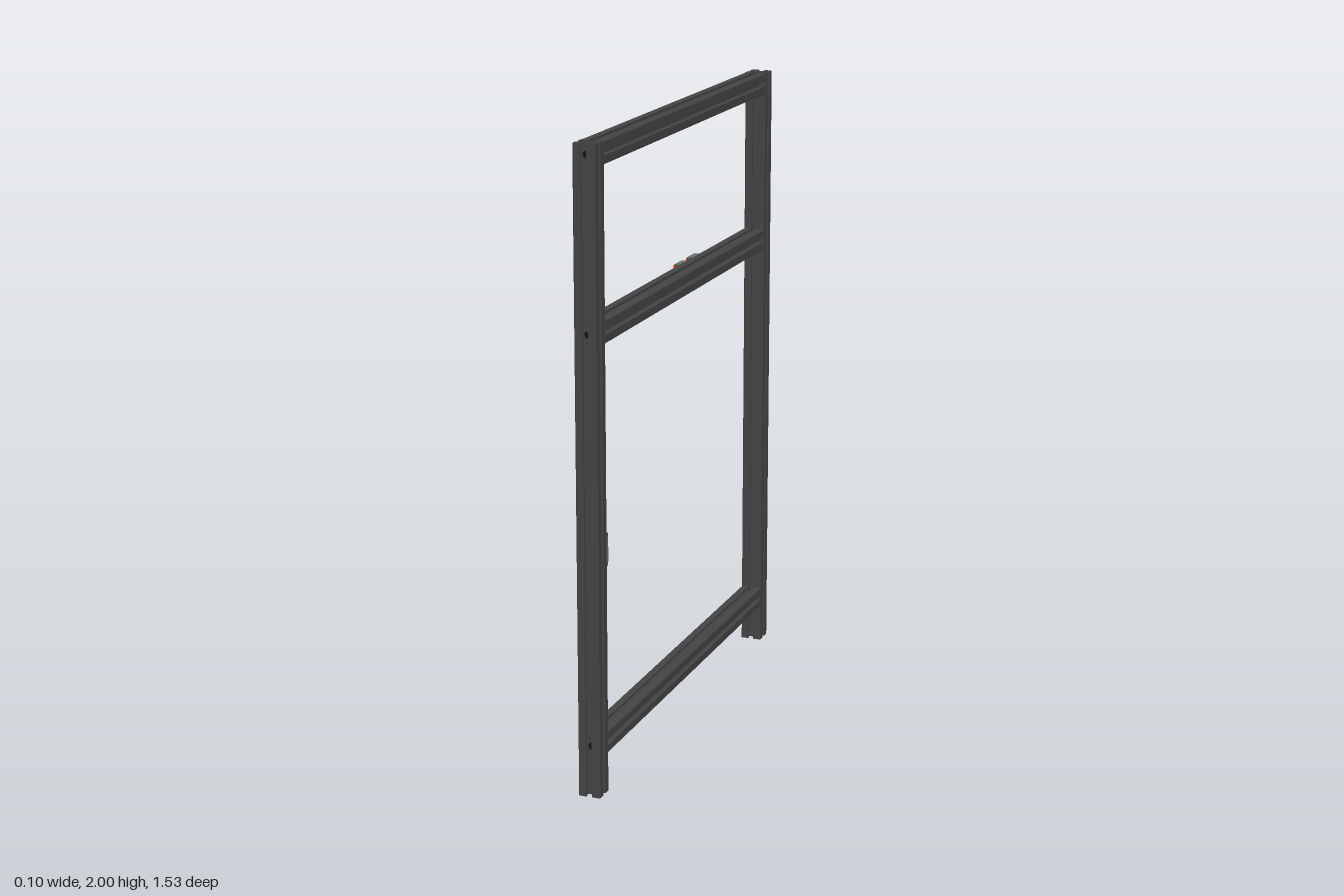
import * as THREE from 'three';
import { mergeGeometries } from 'three/addons/utils/BufferGeometryUtils.js';

const mat = (color) => new THREE.MeshStandardMaterial({ color });
const darkAlu = mat(0x444444), black = mat(0x141414), steel = mat(0xb4b4b4);
const block = mat(0x6c7070), green = mat(0x1f7030), red = mat(0xd03020);

const H = 0.0348;        // half width of the slotted profile
const C = 0.0135;        // half width of its hollow core
const CX = 0.0139;       // x of the frame's centre plane
const POST_Z = 0.732;    // z of the posts
const BEAM_Y = [0.158, 1.438, 2 - H];

const poly = (pts) => new THREE.Shape(pts.map(([x, y]) => new THREE.Vector2(x, y)));
const rect = (w, h) => poly([[-w, -h], [w, -h], [w, h], [-w, h]]);
const extrude = (shape, depth, curveSegments = 12) =>
  new THREE.ExtrudeGeometry(shape, { depth, bevelEnabled: false, curveSegments });

function addHole(shape, x, y, r) {
  const p = new THREE.Path();
  p.absarc(x, y, r, 0, Math.PI * 2, true);
  shape.holes.push(p);
}

function mesh(name, geometry, material) {
  const m = new THREE.Mesh(geometry, material);
  m.name = name;
  return m;
}

// One quarter of the T-slot section: diagonal rib, two lips, hollow corner
function cornerShape() {
  const half = [[C, 0.0095], [0.0215, 0.0172], [0.0275, 0.0172], [0.0275, 0.0087], [H, 0.0087], [H, H - 0.003]];
  const mirrored = half.map(([x, y]) => [y, x]).reverse();
  const s = poly([...half, ...mirrored, [0.0115, 0.0115]]);
  const a = 0.0225, b = 0.0315;
  s.holes.push(new THREE.Path([[a, a], [a, b], [b, b], [b, a]].map(([x, y]) => new THREE.Vector2(x, y))));
  return s;
}

// Slotted bar along y, centred; holes are [y, radius] across x or across z
function slottedBar(name, length, xHoles = [], zHoles = []) {
  const parts = [];
  const corner = extrude(cornerShape(), length).translate(0, 0, -length / 2).rotateX(-Math.PI / 2);
  for (let k = 0; k < 4; k++) {
    const turn = k * Math.PI / 2;
    parts.push(corner.clone().rotateY(turn));
    const wall = rect(C, length / 2);
    for (const [y, r] of k % 2 ? xHoles : zHoles) addHole(wall, 0, y, r);
    parts.push(extrude(wall, 0.006).translate(0, 0, C - 0.006).rotateY(turn));
  }
  return mesh(name, mergeGeometries(parts), darkAlu);
}

// Carriage wrapped around a rail: block, end caps and end seals
function carriage(length) {
  const g = new THREE.Group();
  g.name = 'carriage';
  const section = (w, top, low) => poly([
    [-w, low], [-0.0142, low], [-0.0142, 0.0185], [0.0142, 0.0185], [0.0142, low],
    [w, low], [w, top - 0.002], [w - 0.002, top], [-w + 0.002, top], [-w, top - 0.002],
  ]);
  const slice = (name, shape, y, len, material) => g.add(mesh(name,
    extrude(shape, len).rotateX(Math.PI / 2).scale(-1, 1, -1).rotateY(Math.PI)
      .rotateZ(0).translate(0, y + len / 2, 0), material));
  const cap = 0.01, seal = 0.0025, body = length - 2 * (cap + seal);
  // sections are drawn as (width, height) and run along y, with height facing +z
  slice('carriageBlock', section(0.028, 0.028, 0.0075), 0, body, block);
  for (const s of [-1, 1]) {
    slice('endCap', section(0.0272, 0.0272, 0.008), s * (body + cap) / 2, cap, green);
    slice('endSeal', section(0.0268, 0.0262, 0.008), s * (length - seal) / 2, seal, red);
  }
  return g;
}

// Drilled rail along y from a to b, its top facing +z
function railWithCarriages(name, a, b, carriages, len) {
  const g = new THREE.Group();
  g.name = name;
  const length = b - a, mid = (a + b) / 2, pitch = 0.0696;
  const shape = rect(0.013, length / 2);
  const n = Math.floor((length - 0.03) / pitch);
  for (let i = 0; i <= n; i++) addHole(shape, 0, (i - n / 2) * pitch, 0.0052);
  g.add(mesh('rail', extrude(shape, 0.0174), steel));
  for (const pos of carriages) {
    const c = carriage(len);
    c.position.y = pos - mid;
    g.add(c);
  }
  return g;
}

export function createModel() {
  const model = new THREE.Group();
  model.name = 'slottedFrame';

  // Posts, drilled for the beam screws
  const xHoles = [0.158, 1.372, 1.507, 2 - H].map((y) => [y - 1, 0.0105]);
  const zHoles = BEAM_Y.map((y) => [y - 1, 0.011]);
  for (const s of [-1, 1]) zHoles.push([BEAM_Y[1] - 1 + s * 0.027, 0.004]);
  for (const s of [-1, 1]) {
    const post = slottedBar(s > 0 ? 'frontPost' : 'backPost', 2, xHoles, zHoles);
    post.position.set(CX, 1, s * POST_Z);
    model.add(post);
    // Screw heads sunk in the outer slots
    for (const y of BEAM_Y) {
      const screw = mesh('beamScrew', new THREE.CylinderGeometry(0.0108, 0.0108, 0.005, 16).rotateX(Math.PI / 2), black);
      screw.position.set(CX, y, s * (POST_Z + C - 0.001));
      model.add(screw);
    }
  }

  // Cross beams
  ['bottomBeam', 'middleBeam', 'topBeam'].forEach((name, i) => {
    const beam = slottedBar(name, 2 * (POST_Z - H));
    beam.rotation.x = Math.PI / 2;
    beam.position.set(CX, BEAM_Y[i], 0);
    model.add(beam);
  });

  // Upright rail on the inner face of the front post
  const upright = railWithCarriages('uprightRail', 0.25, 1.33, [0.766], 0.104);
  upright.rotation.y = Math.PI;
  upright.position.set(CX, 0.79, POST_Z - H);
  model.add(upright);

  // Level rail on the right face of the middle beam
  const level = railWithCarriages('levelRail', -0.62, 0.697, [-0.251, -0.138], 0.08);
  level.quaternion.setFromRotationMatrix(new THREE.Matrix4().makeBasis(
    new THREE.Vector3(0, -1, 0), new THREE.Vector3(0, 0, 1), new THREE.Vector3(-1, 0, 0)));
  level.position.set(CX - H, BEAM_Y[1], 0.0385);
  model.add(level);
  return model;
}
